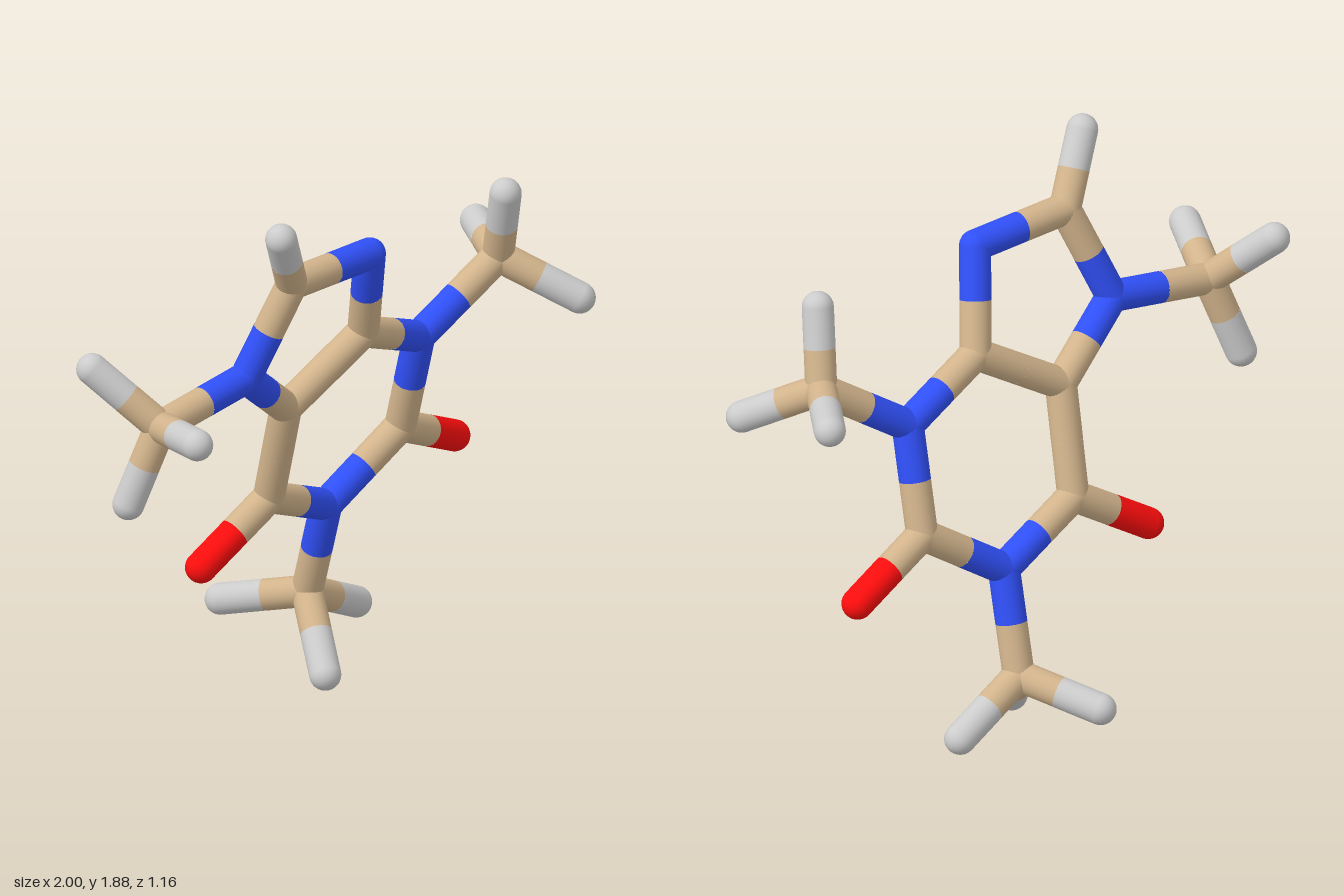
import * as THREE from 'three';

const R = 0.052;

// Ball positions grouped by kind: [x, y, z]
const ATOMS = {
  carbonRingTop: [-0.272, 1.61, 0.213],
  nitrogenRingTop: [0.085, 1.6, 0.118],
  nitrogenRingSide: [-0.41, 1.29, 0.152],
  carbonSharedLower: [-0.175, 1.085, 0.024],
  carbonSharedUpper: [0.135, 1.272, 0.0],
  nitrogenLeft: [0.43, 1.14, -0.13],
  carbonLeft: [0.425, 0.79, -0.235],
  nitrogenBottom: [0.128, 0.59, -0.212],
  carbonRight: [-0.17, 0.73, -0.087],
  oxygenRight: [-0.445, 0.557, -0.06],
  oxygenLeft: [0.7, 0.652, -0.345],
  hydrogenTop: [-0.377, 1.827, 0.315],
  carbonMethylBottom: [0.122, 0.25, -0.318],
  hydrogenBottomA: [-0.073, 0.19, -0.53],
  hydrogenBottomB: [0.37, 0.12, -0.415],
  hydrogenBottomC: [0.05, 0.054, -0.095],
  carbonMethylLeft: [0.74, 1.345, -0.145],
  hydrogenLeftA: [0.715, 1.6, -0.06],
  hydrogenLeftB: [0.948, 1.21, 0.018],
  hydrogenLeftC: [0.83, 1.35, -0.42],
  carbonMethylRight: [-0.785, 1.235, 0.232],
  hydrogenRightA: [-0.95, 1.42, 0.083],
  hydrogenRightB: [-0.83, 1.287, 0.525],
  hydrogenRightC: [-0.88, 0.97, 0.19],
};

// Each chain is a run of bonded balls
const CHAINS = [
  ['carbonSharedLower', 'nitrogenRingSide', 'carbonRingTop', 'nitrogenRingTop', 'carbonSharedUpper'],
  ['carbonSharedLower', 'carbonSharedUpper', 'nitrogenLeft', 'carbonLeft', 'nitrogenBottom', 'carbonRight', 'carbonSharedLower'],
  ['carbonRight', 'oxygenRight'],
  ['carbonLeft', 'oxygenLeft'],
  ['carbonRingTop', 'hydrogenTop'],
  ['nitrogenBottom', 'carbonMethylBottom'],
  ['nitrogenLeft', 'carbonMethylLeft'],
  ['nitrogenRingSide', 'carbonMethylRight'],
];
for (const side of ['Bottom', 'Left', 'Right'])
  for (const h of 'ABC') CHAINS.push([`carbonMethyl${side}`, `hydrogen${side}${h}`]);

export function createModel() {
  const model = new THREE.Group();
  model.name = 'stickMolecule';

  const materials = {
    carbon: new THREE.MeshStandardMaterial({ color: 0xd2b48c }),
    nitrogen: new THREE.MeshStandardMaterial({ color: 0x3050f8 }),
    oxygen: new THREE.MeshStandardMaterial({ color: 0xff0d0d }),
    hydrogen: new THREE.MeshStandardMaterial({ color: 0xcccccc }),
  };
  const materialOf = (name) => materials[name.match(/^[a-z]+/)[0]];
  const position = (name) => new THREE.Vector3(...ATOMS[name]);
  const up = new THREE.Vector3(0, 1, 0);

  // Rounded joints and stick ends
  const ball = new THREE.SphereGeometry(R, 24, 16);
  for (const name of Object.keys(ATOMS)) {
    const joint = new THREE.Mesh(ball, materialOf(name));
    joint.name = name;
    joint.position.copy(position(name));
    model.add(joint);
  }

  // Half stick from a ball to the middle of the bond, in that ball's colour
  const stick = new THREE.CylinderGeometry(R, R, 1, 24, 1, true).translate(0, 0.5, 0);
  function addHalf(from, to) {
    const start = position(from);
    const reach = position(to).sub(start);
    const half = new THREE.Mesh(stick, materialOf(from));
    half.name = `${from}HalfBond`;
    half.position.copy(start);
    half.scale.y = reach.length() / 2;
    half.quaternion.setFromUnitVectors(up, reach.normalize());
    model.add(half);
  }
  for (const chain of CHAINS) {
    for (let i = 1; i < chain.length; i++) {
      addHalf(chain[i - 1], chain[i]);
      addHalf(chain[i], chain[i - 1]);
    }
  }
  return model;
}
